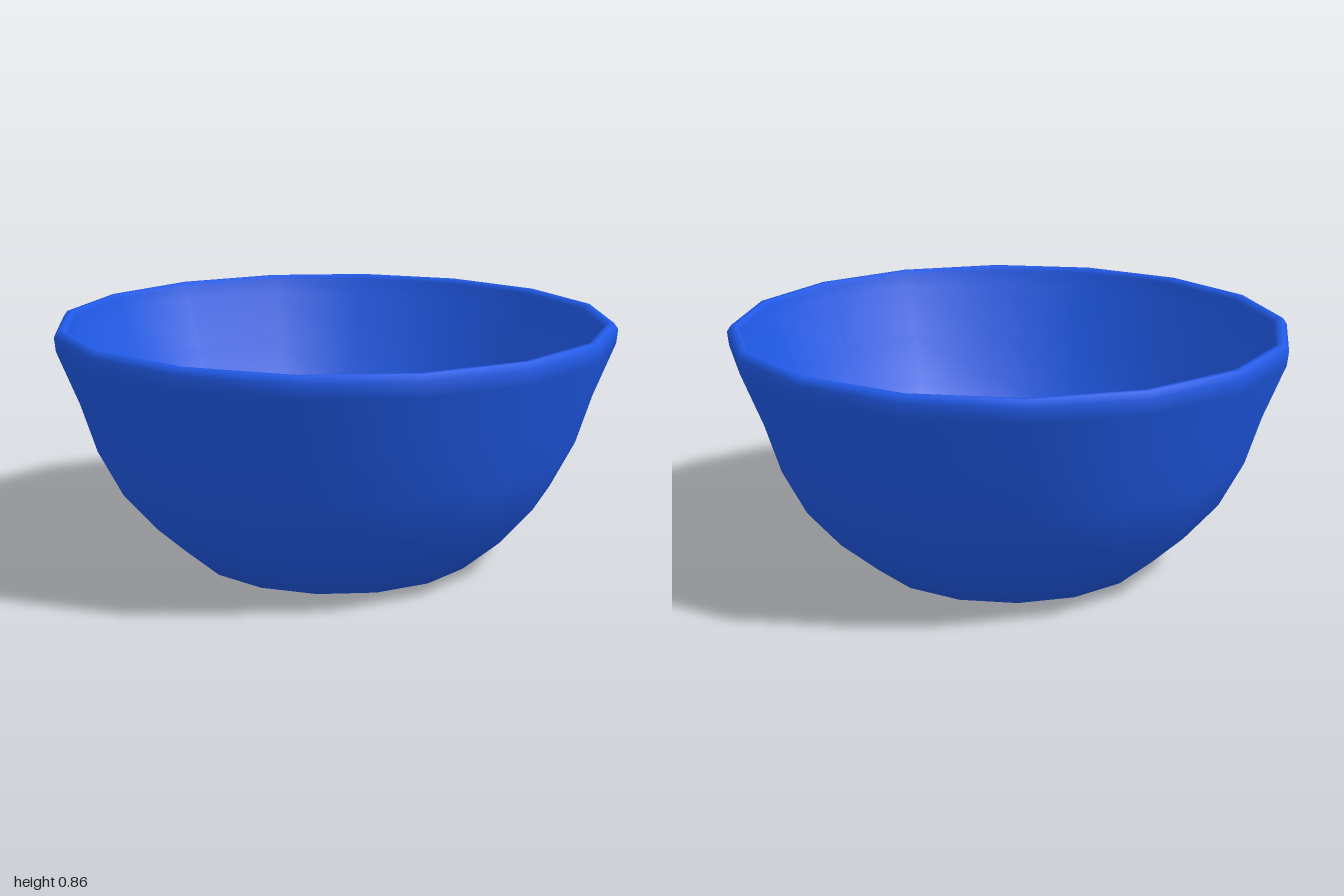
import * as THREE from 'three';

export function createModel() {
  const group = new THREE.Group();
  group.name = 'mixingBowl';

  // Closed profile: flat base, curved outer wall, rounded lip, inner wall, floor
  const profile = [
    [0, 0], [0.52, 0], [0.66, 0.12], [0.78, 0.26], [0.865, 0.425], [0.92, 0.6],
    [0.995, 0.79], [1, 0.84], [0.985, 0.862], [0.965, 0.862], [0.953, 0.845],
    [0.948, 0.79], [0.88, 0.61], [0.825, 0.44], [0.745, 0.285], [0.635, 0.15],
    [0.5, 0.04], [0, 0.04],
  ].map(([r, y]) => new THREE.Vector2(r, y));

  // Sixteen-sided revolution with smooth shading
  const bowl = new THREE.Mesh(
    new THREE.LatheGeometry(profile, 16),
    new THREE.MeshStandardMaterial({ color: 0x205ae8 })
  );
  bowl.name = 'bowl';
  group.add(bowl);
  return group;
}
